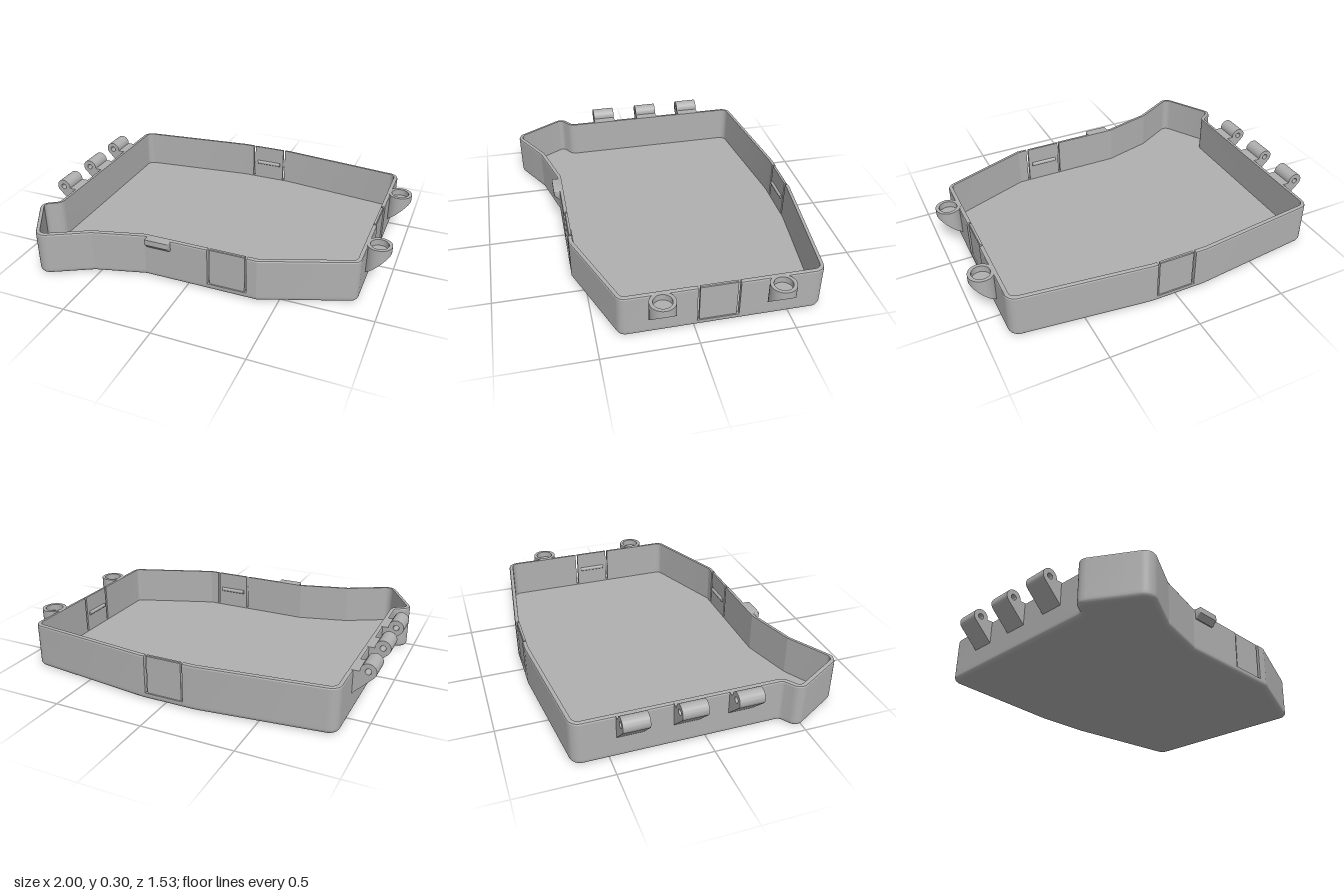
import * as THREE from 'three';
import { toCreasedNormals } from 'three/addons/utils/BufferGeometryUtils.js';

// Tray outline as [x, z, corner radius]
const OUTLINE = [
  [-0.885, -0.684, 0.06], [-0.17, -0.765, 0], [0.14, -0.765, 0], [0.88, -0.679, 0.06],
  [0.88, 0.38, 0.05], [0.39, 0.565, 0], [-0.25, 0.565, 0], [-0.53, 0.64, 0],
  [-0.79, 0.783, 0.06], [-0.975, 0.465, 0.05], [-0.885, 0.405, 0.03],
];
// Snap panels: outline edge index -> panel centre measured along that edge
const PANELS = { 1: 0.175, 3: 0.555, 5: 0.165 };
const WALL = 0.022, TOP = 0.25, SLOT_Y = 0.036;

// The outline moved inward by d; panel edge points carry a tag from 0 to 3
function ring(d, panelD) {
  const n = OUTLINE.length, out = [];
  const normal = (i) => {
    const a = OUTLINE[(i + n) % n], b = OUTLINE[(i + 1) % n];
    return new THREE.Vector2(a[1] - b[1], b[0] - a[0]).normalize();
  };
  OUTLINE.forEach(([x, z, r], i) => {
    const p = new THREE.Vector2(x, z), n1 = normal(i - 1), n2 = normal(i);
    const mitre = n1.clone().add(n2).divideScalar(1 + n1.dot(n2));
    if (r === 0) {
      out.push({ p: p.clone().addScaledVector(mitre, d) });
    } else {
      const turn = Math.atan2(n1.cross(n2), n1.dot(n2)), s = Math.sign(turn);
      const centre = p.clone().addScaledVector(mitre, s * r);
      for (let k = 0; k <= 10; k++) {
        const nk = n1.clone().rotateAround(new THREE.Vector2(), turn * k / 10);
        out.push({ p: centre.clone().addScaledVector(nk, d - s * r) });
      }
    }
    if (PANELS[i] !== undefined) {
      const dir = new THREE.Vector2(n2.y, -n2.x);
      [-0.11, -0.098, 0.098, 0.11].forEach((t, tag) => {
        const inset = tag === 1 || tag === 2 ? panelD : d;
        out.push({ tag, p: p.clone().addScaledVector(dir, PANELS[i] + t).addScaledVector(n2, inset) });
      });
    }
  });
  return out;
}

function trayGeometry() {
  // Wall section from the bottom fillet over the rim down to the floor: [inset, y]
  const section = [];
  for (let i = 0; i <= 8; i++) {
    const a = i * Math.PI / 16;
    section.push([0.025 * (1 - Math.sin(a)), 0.025 * (1 - Math.cos(a))]);
  }
  const k0 = section.length;
  section.push([0, SLOT_Y], [0, SLOT_Y + 0.001], [0, TOP - 0.01], [0.003, TOP - 0.003],
    [0.01, TOP], [WALL, TOP], [WALL, SLOT_Y], [WALL, 0.03]);
  const last = section.length - 1, k1 = last - 1;
  const rings = section.map(([d], k) => ring(d, k > k0 ? Math.max(d, 0.006) : d));
  const count = rings[0].length, pos = [];
  const at = (k, j) => {
    const { p } = rings[k][j % count];
    return [p.x, section[k][1], p.y];
  };
  const tri = (a, b, c) => pos.push(...a, ...b, ...c);
  const quad = (k, m, j) => {
    tri(at(k, j), at(m, j), at(k, j + 1));
    tri(at(k, j + 1), at(m, j), at(m, j + 1));
  };
  for (let j = 0; j < count; j++) {
    const tag = rings[0][j].tag, slot = tag === 0 || tag === 2;
    for (let k = 0; k < last; k++) if (!slot || k < k0 || k >= k1) quad(k, k + 1, j);
    if (!slot) continue;
    // Slot floor and its two side faces
    quad(k0, k1, j);
    for (let k = k0 + 2; k < k1; k++) {
      tri(at(k0 + 1, j), at(k, j), at(k + 1, j));
      tri(at(k0 + 1, j + 1), at(k + 1, j + 1), at(k, j + 1));
    }
  }
  // Underside and inner floor
  for (const k of [0, last]) {
    const faces = THREE.ShapeUtils.triangulateShape(rings[k].map((q) => q.p.clone()), []);
    for (const [a, b, c] of faces) {
      if (k === 0) tri(at(k, a), at(k, b), at(k, c));
      else tri(at(k, a), at(k, c), at(k, b));
    }
  }
  const geo = new THREE.BufferGeometry();
  geo.setAttribute('position', new THREE.Float32BufferAttribute(pos, 3));
  return toCreasedNormals(geo, 0.21);
}

// Hinge knuckle: pierced barrel with a 45 degree gusset, extruded along z
function knuckleGeometry(width) {
  const cx = -0.958, cy = 0.255, r = 0.042;
  const shape = new THREE.Shape();
  shape.moveTo(-0.875, 0.112);
  shape.lineTo(-0.875, TOP);
  shape.lineTo(cx + r, TOP);
  shape.absarc(cx, cy, r, 0, Math.PI * 1.25, false);
  const hole = new THREE.Path();
  hole.absarc(cx, cy, 0.016, 0, Math.PI * 2, true);
  shape.holes.push(hole);
  const geo = new THREE.ExtrudeGeometry(shape, { depth: width, bevelEnabled: false, curveSegments: 20 });
  return toCreasedNormals(geo, 0.5);
}

// Round socket with a shallow recess and a sloping underside
function socketGeometry(cx) {
  const R = 0.068, r = 0.049;
  const profile = [[0, 0], [R, 0], [R, TOP], [r, TOP], [r, TOP - 0.035], [0, TOP - 0.035]];
  const geo = new THREE.LatheGeometry(profile.map(([x, y]) => new THREE.Vector2(x, y)), 36);
  const p = geo.attributes.position;
  for (let i = 0; i < p.count; i++) {
    if (p.getY(i) < 0.001) p.setY(i, p.getX(i) + cx - 0.79);
  }
  return toCreasedNormals(geo, 0.5);
}

export function createModel() {
  const model = new THREE.Group();
  model.name = 'hingedTray';
  const grey = new THREE.MeshStandardMaterial({ color: 0xb0b0b0 });
  grey.name = 'grey plastic';
  const add = (name, geo, x = 0, y = 0, z = 0) => {
    const mesh = new THREE.Mesh(geo, grey);
    mesh.name = name;
    mesh.position.set(x, y, z);
    model.add(mesh);
    return mesh;
  };

  add('tray', trayGeometry());

  // Hinge knuckles on the right side
  for (const z of [-0.465, -0.175, 0.115]) add('hingeKnuckle', knuckleGeometry(0.135), 0, 0, z);

  // Sockets on the left side
  for (const z of [-0.432, 0.175]) add('socket', socketGeometry(0.932), 0.932, 0, z);

  // Catch ridges inside the snap panels
  const ridge = new THREE.CylinderGeometry(0.012, 0.012, 0.155, 16);
  add('backCatch', ridge, 0.005, 0.14, -0.743).rotation.z = Math.PI / 2;
  add('frontCatch', ridge, 0.225, 0.14, 0.543).rotation.z = Math.PI / 2;
  add('sideCatch', ridge, 0.858, 0.14, -0.125).rotation.x = Math.PI / 2;

  // Thumb tab on the front with a sloped underside
  const tab = new THREE.Shape([[-0.55, 0.19], [-0.55, TOP], [-0.599, TOP], [-0.599, 0.218], [-0.571, 0.19]]
    .map(([x, y]) => new THREE.Vector2(x, y)));
  const tabGeo = new THREE.ExtrudeGeometry(tab, {
    depth: 0.126, bevelEnabled: true, bevelThickness: 0.007, bevelSize: 0.007, bevelOffset: -0.007, bevelSegments: 3,
  });
  tabGeo.rotateY(Math.PI / 2).scale(1, 1, 1);
  add('thumbTab', toCreasedNormals(tabGeo, 0.6), -0.228, 0, 0);

  return model;
}
